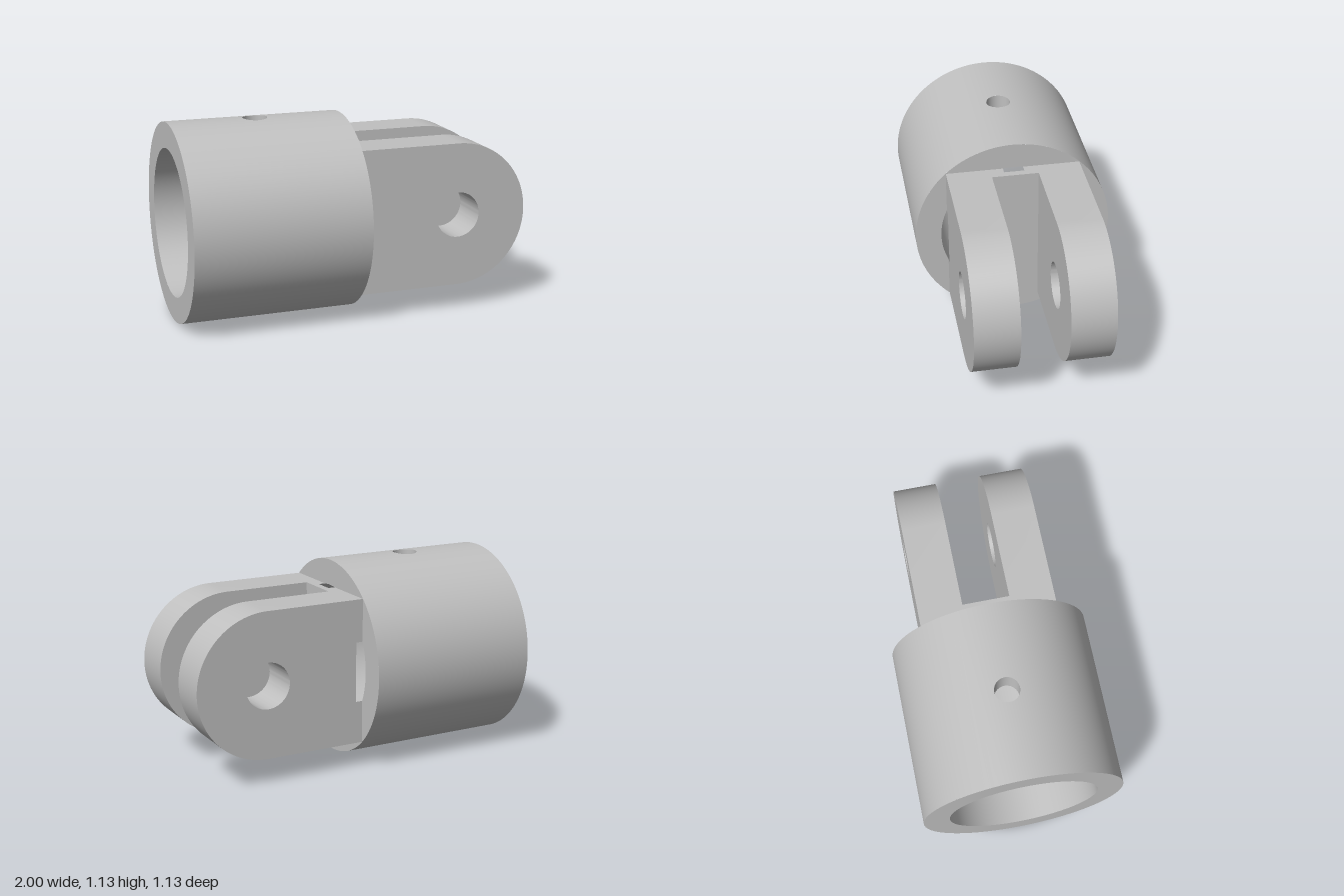
import * as THREE from 'three';
import { toCreasedNormals } from 'three/addons/utils/BufferGeometryUtils.js';

const R = 0.567, BORE = 0.42;            // socket outer and bore radii
const HH = 0.416, HW = 0.383;            // fork half height and half width
const SLOT = 0.133, FLOOR = 0.04, WEB = 0.08;
const PIN = 0.07, PIN_X = -0.5, PATCH = 0.3; // set-screw hole and its patch half angle

// Smooth grid surface from a point rule and a normal rule, wound to match the normal
function surface(point, normal, nu, nv) {
  const pos = [], nor = [], index = [];
  for (let i = 0; i <= nu; i++) {
    for (let j = 0; j <= nv; j++) {
      const p = point(i / nu, j / nv);
      pos.push(p.x, p.y, p.z);
      nor.push(...normal(p).normalize().toArray());
    }
  }
  const v = (arr, k) => new THREE.Vector3().fromArray(arr, k * 3);
  const tri = (a, b, c) => {
    const n = v(pos, b).sub(v(pos, a)).cross(v(pos, c).sub(v(pos, a)));
    if (n.dot(v(nor, a)) >= 0) index.push(a, b, c);
    else index.push(a, c, b);
  };
  for (let i = 0; i < nu; i++) {
    for (let j = 0; j < nv; j++) {
      const a = i * (nv + 1) + j, b = a + nv + 1;
      tri(a, b, b + 1);
      tri(a, b + 1, a + 1);
    }
  }
  const g = new THREE.BufferGeometry();
  g.setAttribute('position', new THREE.Float32BufferAttribute(pos, 3));
  g.setAttribute('normal', new THREE.Float32BufferAttribute(nor, 3));
  g.setIndex(index);
  return g;
}

// Cylinder wall along x, leaving out a strip at the top
function wall(r, facing) {
  return surface((u, v) => {
    const t = PATCH + u * 2 * (Math.PI - PATCH);
    return new THREE.Vector3(v - 1, r * Math.cos(t), r * Math.sin(t));
  }, p => new THREE.Vector3(0, p.y * facing, p.z * facing), 120, 1);
}

// Top strip of the wall, with a round hole in it
function holedStrip(r, facing) {
  const w = r * Math.sin(PATCH), h = 0.5, c = Math.atan2(w, h);
  const stops = [-c, c, Math.PI - c, Math.PI + c, 2 * Math.PI - c];
  return surface((u, v) => {
    const side = Math.min(3, Math.floor(u * 4 + 1e-9));
    const a = THREE.MathUtils.lerp(stops[side], stops[side + 1], u * 4 - side);
    const reach = Math.min(h / Math.abs(Math.cos(a)), w / Math.abs(Math.sin(a)));
    const d = THREE.MathUtils.lerp(PIN, reach, v);
    const z = d * Math.sin(a);
    return new THREE.Vector3(PIN_X + d * Math.cos(a), Math.sqrt(r * r - z * z), z);
  }, p => new THREE.Vector3(0, p.y * facing, p.z * facing), 80, 8);
}

// Wall of the set-screw hole, from bore to outside
function holeWall() {
  return surface((u, v) => {
    const a = u * Math.PI * 2, z = PIN * Math.sin(a);
    const y = THREE.MathUtils.lerp(Math.sqrt(BORE * BORE - z * z), Math.sqrt(R * R - z * z), v);
    return new THREE.Vector3(PIN_X + PIN * Math.cos(a), y, z);
  }, p => new THREE.Vector3(PIN_X - p.x, 0, -p.z), 64, 1);
}

function extrude(shape, depth) {
  const g = new THREE.ExtrudeGeometry(shape, { depth, bevelEnabled: false, curveSegments: 48 });
  return toCreasedNormals(g, 0.5);
}

export function createModel() {
  const model = new THREE.Group();
  model.name = 'clevisSocket';
  const steel = new THREE.MeshStandardMaterial({ color: 0xc0c0c0 });
  steel.name = 'grey steel';
  const body = new THREE.Group();
  body.name = 'body';
  body.position.y = R;
  model.add(body);
  const add = (name, geometry, parent = body) => {
    const mesh = new THREE.Mesh(geometry, steel);
    mesh.name = name;
    parent.add(mesh);
    return mesh;
  };

  // Socket tube with a set-screw hole in its top
  const socket = new THREE.Group();
  socket.name = 'socket';
  body.add(socket);
  add('outerWall', wall(R, 1), socket);
  add('outerTopStrip', holedStrip(R, 1), socket);
  add('boreWall', wall(BORE, -1), socket);
  add('boreTopStrip', holedStrip(BORE, -1), socket);
  add('screwHole', holeWall(), socket);
  for (const s of [-1, 0]) {
    const rim = add(s ? 'openRim' : 'forkRim', new THREE.RingGeometry(BORE, R, 128), socket);
    rim.rotation.y = s ? -Math.PI / 2 : Math.PI / 2;
    rim.position.x = s;
  }

  // Four corners joining fork to socket where the bore breaks through the sides
  const a0 = Math.acos(HW / BORE), a1 = Math.asin(HH / BORE);
  for (const sy of [-1, 1]) {
    for (const sz of [-1, 1]) {
      const pts = [new THREE.Vector2(sz * HW, sy * HH)];
      for (let i = 0; i <= 20; i++) {
        const a = THREE.MathUtils.lerp(a1, a0, i / 20);
        pts.push(new THREE.Vector2(sz * BORE * Math.cos(a), sy * BORE * Math.sin(a)));
      }
      add('forkCorner', extrude(new THREE.Shape(pts), FLOOR).rotateY(Math.PI / 2));
    }
  }

  // Web between the two fork arms
  add('forkWeb', new THREE.BoxGeometry(WEB - FLOOR, HH * 2, SLOT * 2)).position.x = (WEB + FLOOR) / 2;

  // Round-ended fork arms with pin holes
  const arm = new THREE.Shape();
  arm.moveTo(FLOOR, -HH);
  arm.lineTo(1 - HH, -HH);
  arm.absarc(1 - HH, 0, HH, -Math.PI / 2, Math.PI / 2, false);
  arm.lineTo(FLOOR, HH);
  arm.closePath();
  const eye = new THREE.Path();
  eye.absarc(1 - HH, 0, 0.131, 0, Math.PI * 2, true);
  arm.holes.push(eye);
  const armGeometry = extrude(arm, HW - SLOT);
  add('leftForkArm', armGeometry).position.z = SLOT;
  add('rightForkArm', armGeometry).position.z = -HW;

  return model;
}
